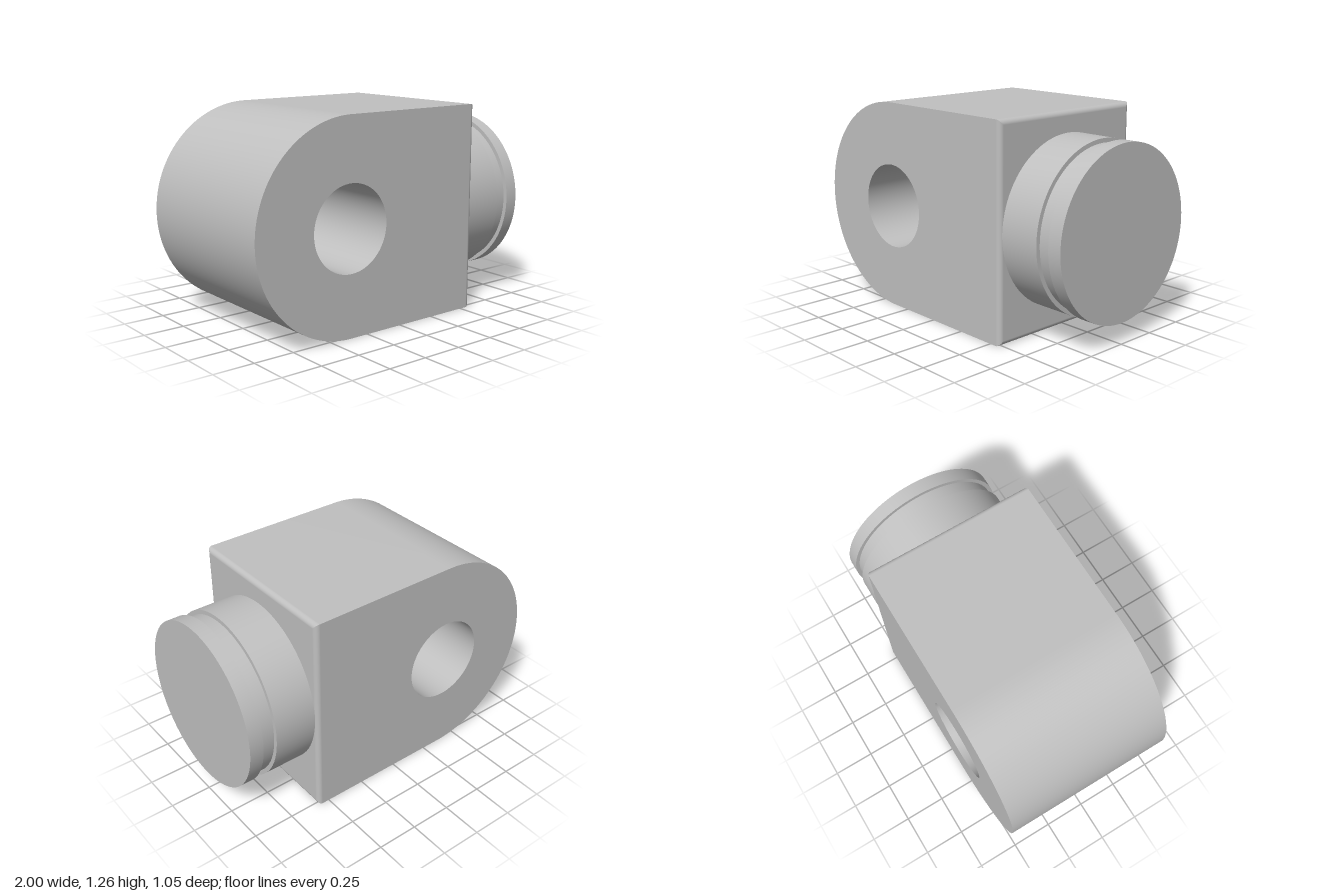
import * as THREE from 'three';
import { toCreasedNormals } from 'three/addons/utils/BufferGeometryUtils.js';

const MID_Y = 0.63;      // height of the pin and shaft axes
const HALF_Z = 0.526;    // half thickness of the body
const FILLET = 0.03;
const FACE_X = 0.575;    // shoulder the shaft stands on
const EYE_X = -0.37;

// Rounded lug with a straight pin hole through it
function bodyGeometry() {
  const end = FACE_X - FILLET;
  const shape = new THREE.Shape();
  shape.moveTo(end, 0);
  shape.lineTo(end, 2 * MID_Y);
  shape.lineTo(EYE_X, 2 * MID_Y);
  shape.absarc(EYE_X, MID_Y, MID_Y, Math.PI / 2, Math.PI * 1.5, false);
  shape.closePath();
  const hole = new THREE.Path();
  hole.absarc(EYE_X, MID_Y, 0.255, 0, Math.PI * 2, true);
  shape.holes.push(hole);
  const geometry = new THREE.ExtrudeGeometry(shape, {
    depth: 2 * HALF_Z, bevelEnabled: false, curveSegments: 64,
  });
  geometry.translate(0, 0, -HALF_Z);
  return toCreasedNormals(geometry, 0.5);
}

// Shoulder: four quarter-round edges with mitred corners, and the flat face
function shoulderGeometry(steps = 8) {
  const corners = [[1, 1], [-1, 1], [-1, -1], [1, -1]]; // signs of y and z
  const positions = [], normals = [], index = [];
  const addCorner = ([sy, sz], t, normal) => {
    const inset = FILLET * (1 - Math.cos(t));
    positions.push(FACE_X - FILLET + FILLET * Math.sin(t),
      MID_Y + sy * (MID_Y - inset), sz * (HALF_Z - inset));
    normals.push(...normal);
  };
  corners.forEach((a, k) => {
    const b = corners[(k + 1) % 4];
    const ny = (a[0] + b[0]) / 2, nz = (a[1] + b[1]) / 2;
    for (let j = 0; j <= steps; j++) {
      const t = (j / steps) * Math.PI / 2;
      const normal = [Math.sin(t), ny * Math.cos(t), nz * Math.cos(t)];
      const v = positions.length / 3;
      addCorner(a, t, normal);
      addCorner(b, t, normal);
      if (j < steps) index.push(v, v + 1, v + 3, v, v + 3, v + 2);
    }
  });
  const v = positions.length / 3;
  corners.forEach((c) => addCorner(c, Math.PI / 2, [1, 0, 0]));
  index.push(v, v + 1, v + 2, v, v + 2, v + 3);
  const geometry = new THREE.BufferGeometry();
  geometry.setAttribute('position', new THREE.Float32BufferAttribute(positions, 3));
  geometry.setAttribute('normal', new THREE.Float32BufferAttribute(normals, 3));
  geometry.setIndex(index);
  return geometry;
}

// Round shaft with a retaining groove near its end
function shaftGeometry() {
  const R = 0.505, GROOVE_R = 0.48;
  const profile = [
    [R, FACE_X - 0.005], [R, 0.83], [GROOVE_R, 0.83], [GROOVE_R, 0.915],
    [R, 0.915], [R, 1], [0, 1],
  ].map(([r, x]) => new THREE.Vector2(r, x));
  const geometry = new THREE.LatheGeometry(profile, 96);
  geometry.rotateZ(-Math.PI / 2);
  geometry.translate(0, MID_Y, 0);
  return toCreasedNormals(geometry, 0.5);
}

export function createModel() {
  const steel = new THREE.MeshStandardMaterial({ color: 0xc0c0c0 });
  steel.name = 'grey steel';
  const model = new THREE.Group();
  model.name = 'rodEye';
  const parts = {
    eyeBody: bodyGeometry(),
    filletedShoulder: shoulderGeometry(),
    groovedShaft: shaftGeometry(),
  };
  for (const [name, geometry] of Object.entries(parts)) {
    const mesh = new THREE.Mesh(geometry, steel);
    mesh.name = name;
    model.add(mesh);
  }
  return model;
}
